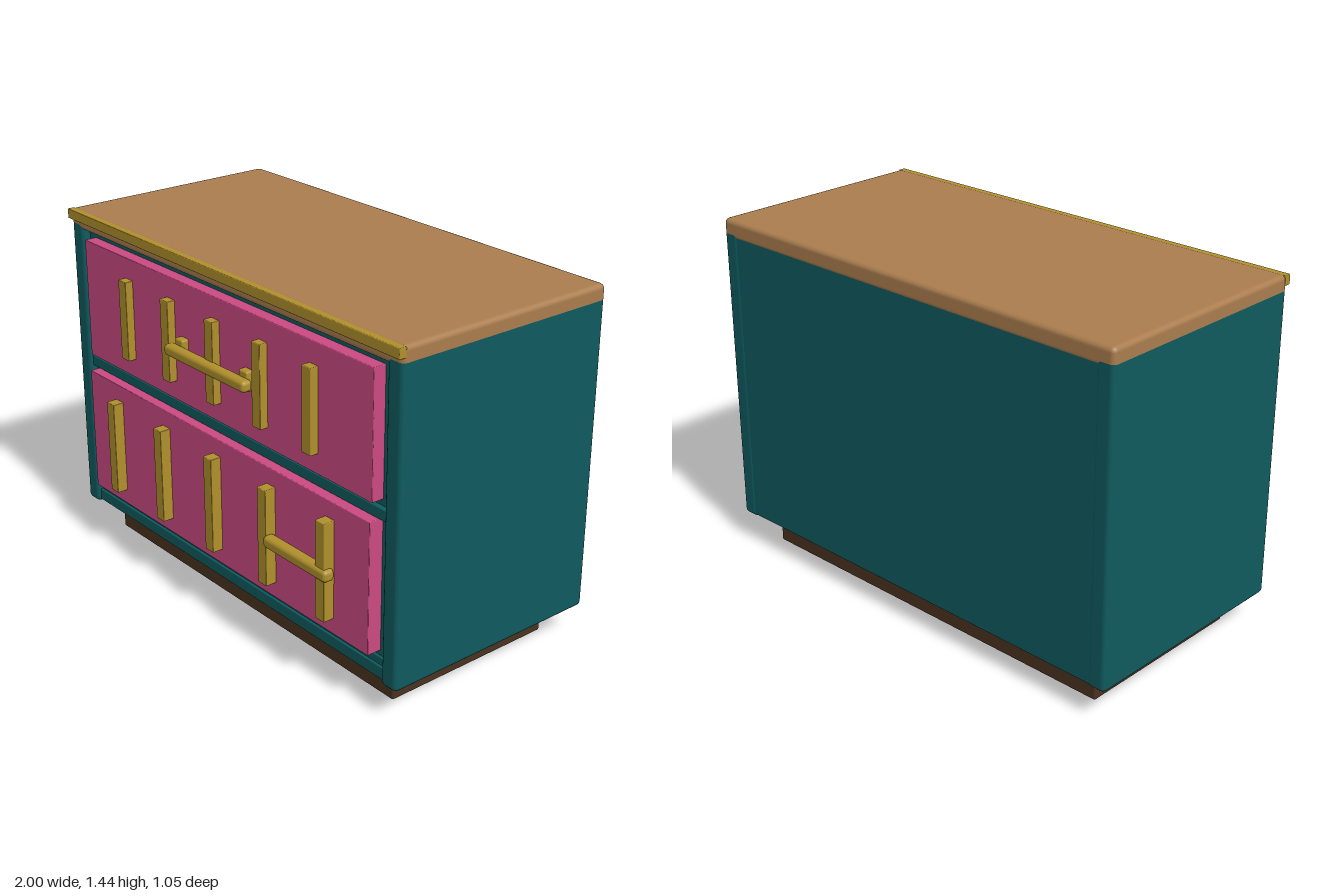
import * as THREE from 'three';
import { RoundedBoxGeometry } from 'three/addons/geometries/RoundedBoxGeometry.js';

const flat = (name, color) => Object.assign(new THREE.MeshStandardMaterial({ color }), { name });

export function createModel() {
  const teal = flat('teal', 0x0f5b5f);
  const pink = flat('pink', 0xcb4a82);
  const brass = flat('brass', 0xb0902c);
  const wood = flat('wood', 0xaa7d4e);
  const dark = flat('dark wood', 0x4a3220);

  const group = new THREE.Group();
  group.name = 'dresser';

  // Softened box given by its limits on each axis
  const box = (name, mat, [x0, x1], [y0, y1], [z0, z1], r = 0.004, parent = group) => {
    const mesh = new THREE.Mesh(new RoundedBoxGeometry(x1 - x0, y1 - y0, z1 - z0, 2, r), mat);
    mesh.position.set((x0 + x1) / 2, (y0 + y1) / 2, (z0 + z1) / 2);
    mesh.name = name;
    parent.add(mesh);
    return mesh;
  };

  // Plinth, case and top
  box('plinth', dark, [-0.88, 0.88], [0, 0.17], [-0.425, 0.345], 0.008);
  box('rightSide', teal, [-1, -0.92], [0.13, 1.4], [-0.523, 0.445], 0.02);
  box('leftSide', teal, [0.92, 1], [0.13, 1.4], [-0.523, 0.445], 0.02);
  box('backPanel', teal, [-0.98, 0.98], [0.14, 1.39], [-0.52, -0.48], 0.006);
  box('bottomBoard', teal, [-0.93, 0.93], [0.16, 0.22], [-0.5, 0.42]);
  box('caseFront', teal, [-0.93, 0.93], [0.17, 1.38], [0.36, 0.41]);
  box('bottomRail', teal, [-0.93, 0.93], [0.14, 0.19], [0.36, 0.43]);
  box('middleRail', teal, [-0.93, 0.93], [0.77, 0.815], [0.36, 0.43]);
  box('topBoard', wood, [-1, 1], [1.36, 1.44], [-0.523, 0.445], 0.02);
  box('topTrim', brass, [-1, 1], [1.398, 1.438], [0.43, 0.461], 0.003);

  // Drawers, each with five upright slats
  const drawers = [
    { name: 'upperDrawer', y: [0.84, 1.335], z: 0.461, slatY: [0.92, 1.25], slatZ: 0.495, step: 0.284 },
    { name: 'lowerDrawer', y: [0.24, 0.77], z: 0.47, slatY: [0.305, 0.702], slatZ: 0.516, step: 0.334 },
  ];
  for (const d of drawers) {
    const drawer = new THREE.Group();
    drawer.name = d.name;
    group.add(drawer);
    box('drawerFront', pink, [-0.88, 0.88], d.y, [0.39, d.z], 0.003, drawer);
    for (let i = -2; i <= 2; i++) {
      const x = i * d.step;
      box('slat', brass, [x - 0.025, x + 0.025], d.slatY, [d.z - 0.01, d.slatZ], 0.003, drawer);
    }
  }

  // Bar handles
  box('upperHandle', brass, [-0.25, 0.25], [1.048, 1.094], [0.48, 0.527], 0.016);
  for (const x of [-0.2, 0.2]) {
    box('handlePost', brass, [x - 0.025, x + 0.025], [1.037, 1.117], [0.45, 0.49], 0.008);
  }
  box('lowerHandle', brass, [0.35, 0.71], [0.472, 0.52], [0.478, 0.527], 0.016);

  return group;
}
